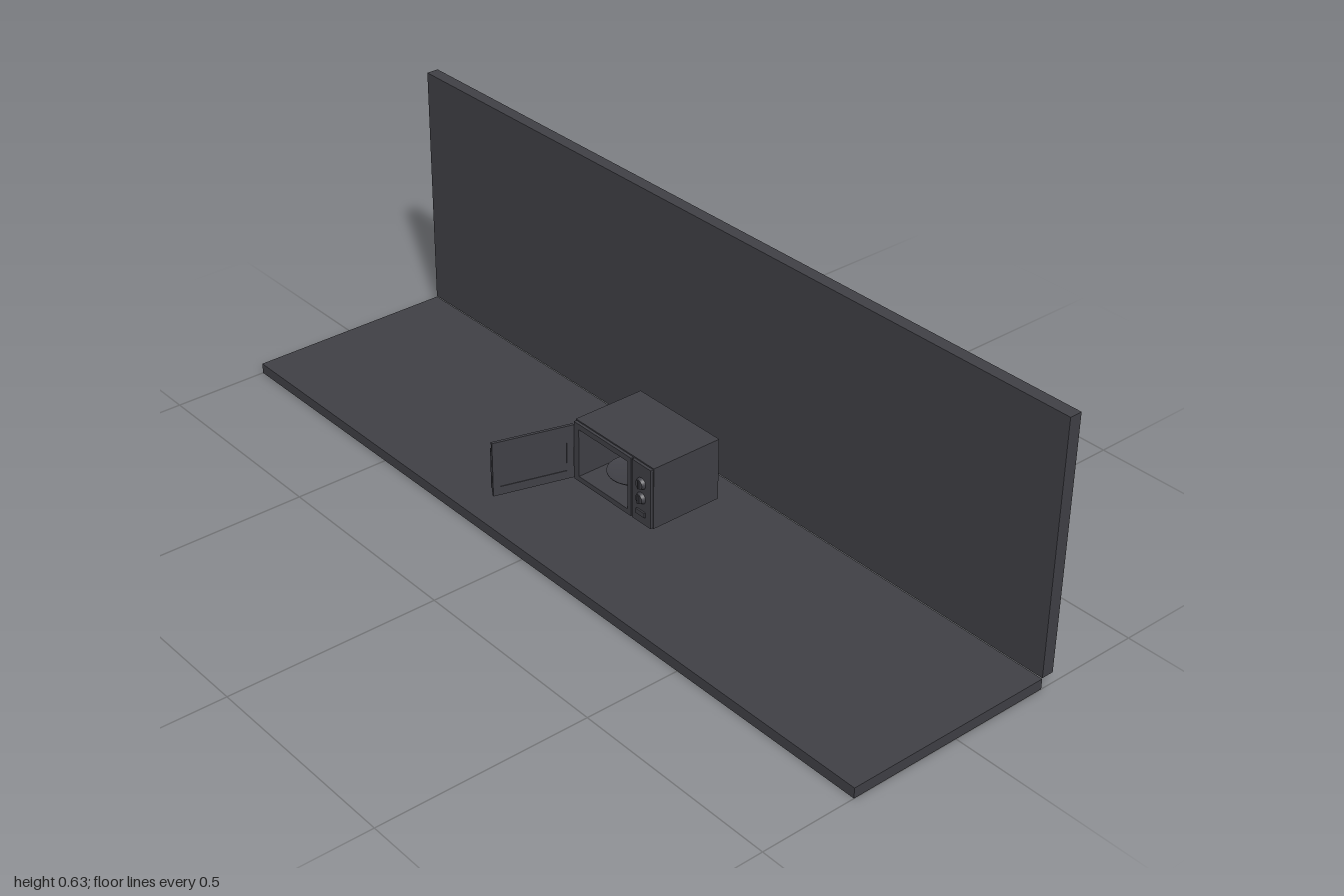
import * as THREE from 'three';

export function createModel() {
  const model = new THREE.Group();
  const charcoal = new THREE.MeshStandardMaterial({ color: 0x404046 });
  charcoal.name = 'charcoal';

  const add = (name, geometry, x, y, z, parent = model) => {
    const mesh = new THREE.Mesh(geometry, charcoal);
    mesh.name = name;
    mesh.position.set(x, y, z);
    parent.add(mesh);
    return mesh;
  };
  // Box given by its limits
  const box = (name, x0, x1, y0, y1, z0, z1, parent) =>
    add(name, new THREE.BoxGeometry(x1 - x0, y1 - y0, z1 - z0),
      (x0 + x1) / 2, (y0 + y1) / 2, (z0 + z1) / 2, parent);
  // Rectangular frame with a rectangular opening, extruded along z
  const rect = (target, x0, x1, y0, y1) => {
    target.moveTo(x0, y0);
    target.lineTo(x1, y0);
    target.lineTo(x1, y1);
    target.lineTo(x0, y1);
    target.closePath();
    return target;
  };
  const frame = (name, outer, hole, z0, z1, parent) => {
    const shape = rect(new THREE.Shape(), ...outer);
    shape.holes.push(rect(new THREE.Path(), ...hole));
    const geometry = new THREE.ExtrudeGeometry(shape, { depth: z1 - z0, bevelEnabled: false });
    return add(name, geometry, 0, 0, z0, parent);
  };

  // Worktop and wall
  box('counter', -1, 1, 0, 0.025, -0.24, 0.271);
  box('wall', -1, 1, 0.027, 0.627, -0.27, -0.24);

  // Oven: hollow casing, back and front surround
  const oven = new THREE.Group();
  oven.name = 'microwaveOven';
  model.add(oven);
  const opening = [-0.112, 0.053, 0.05, 0.17];
  frame('casing', [-0.13, 0.13, 0.035, 0.187], opening, -0.15, 0.018, oven);
  box('casingBack', -0.13, 0.13, 0.035, 0.187, -0.165, -0.15, oven);
  frame('frontSurround', [-0.128, 0.064, 0.037, 0.184], opening, 0.018, 0.025, oven);
  box('controlPanel', 0.067, 0.128, 0.037, 0.184, 0.018, 0.025, oven);

  // Feet
  for (const x of [-0.105, 0.105])
    for (const z of [0, -0.132])
      add('foot', new THREE.CylinderGeometry(0.009, 0.008, 0.011, 20), x, 0.0305, z, oven);

  // Two dials with grips, and a push button below
  for (const y of [0.138, 0.101]) {
    add('dial', new THREE.CylinderGeometry(0.011, 0.014, 0.008, 28).rotateX(Math.PI / 2), 0.098, y, 0.029, oven);
    add('dialGrip', new THREE.BoxGeometry(0.004, 0.02, 0.004), 0.098, y, 0.034, oven);
  }
  box('pushButton', 0.084, 0.112, 0.058, 0.07, 0.025, 0.029, oven);

  // Turntable: three-armed support and shallow plate
  const turntable = new THREE.Group();
  turntable.name = 'turntable';
  turntable.position.set(-0.03, 0.05, -0.065);
  oven.add(turntable);
  add('hub', new THREE.CylinderGeometry(0.01, 0.012, 0.01, 20), 0, 0.005, 0, turntable);
  for (let i = 0; i < 3; i++) {
    const arm = add('supportArm', new THREE.BoxGeometry(0.045, 0.004, 0.008).translate(0.022, 0, 0), 0, 0.006, 0, turntable);
    arm.rotation.y = i * Math.PI * 2 / 3;
  }
  const profile = [[0, 0.01], [0.045, 0.01], [0.062, 0.019], [0.062, 0.021], [0.044, 0.013], [0, 0.013]]
    .map(([r, y]) => new THREE.Vector2(r, y));
  add('plate', new THREE.LatheGeometry(profile, 40), 0, 0, 0, turntable);

  // Heating rod under the cavity ceiling
  const rodPath = new THREE.CatmullRomCurve3([
    [-0.095, -0.148], [-0.095, -0.03], [-0.08, -0.015], [0.02, -0.015], [0.035, -0.03], [0.035, -0.148],
  ].map(([x, z]) => new THREE.Vector3(x, 0.157, z)));
  add('heatingRod', new THREE.TubeGeometry(rodPath, 48, 0.003, 8), 0, 0, 0, oven);

  // Open door, hinged on the oven's right
  const door = new THREE.Group();
  door.name = 'door';
  door.position.set(-0.13, 0, 0.024);
  door.rotation.y = -Math.atan2(0.183, -0.052);
  oven.add(door);
  frame('doorFrame', [0, 0.19, 0.039, 0.174], [0.017, 0.173, 0.06, 0.155], 0, 0.007, door);
  box('doorWindow', 0.017, 0.173, 0.06, 0.155, 0.0015, 0.0055, door);
  box('doorHandle', 0.184, 0.1905, 0.056, 0.157, 0.007, 0.011, door);

  return model;
}
